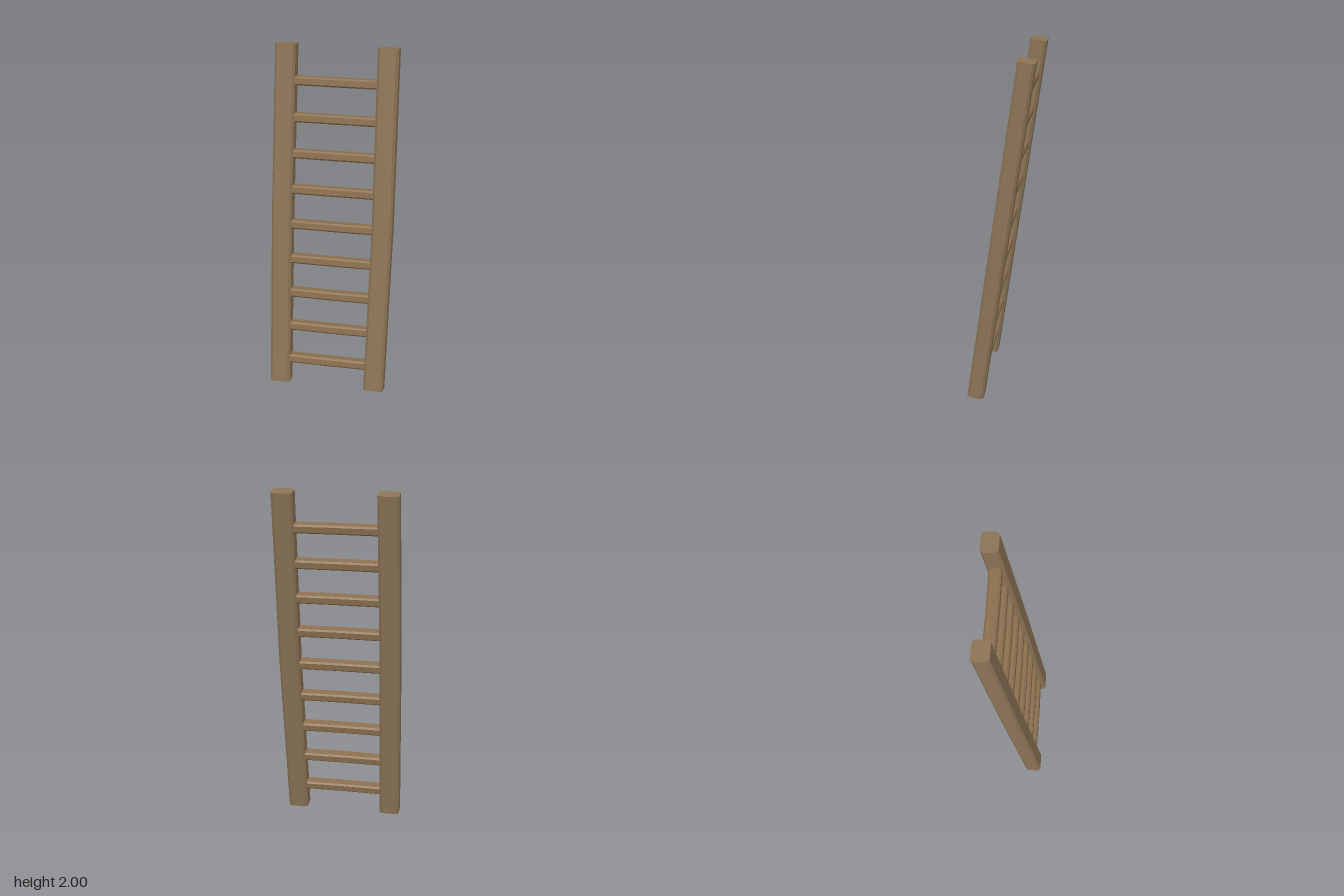
import * as THREE from 'three';

// Chamfered beam along z, with a middle section so it can bow
function beamGeometry(width, height, length, chamfer) {
  const w = width / 2, h = height / 2, c = chamfer;
  const outline = [
    [w - c, -h], [w, -h + c], [w, h - c], [w - c, h],
    [-w + c, h], [-w, h - c], [-w, -h + c], [-w + c, -h],
  ].map(([x, y]) => new THREE.Vector2(x, y));
  const geometry = new THREE.ExtrudeGeometry(new THREE.Shape(outline), {
    depth: length, steps: 2, bevelEnabled: false,
  });
  return geometry.translate(0, 0, -length / 2);
}

// Move every vertex by a rule
function bend(geometry, rule) {
  const p = geometry.attributes.position;
  const v = new THREE.Vector3();
  for (let i = 0; i < p.count; i++) {
    rule(v.fromBufferAttribute(p, i));
    p.setXYZ(i, v.x, v.y, v.z);
  }
  geometry.computeVertexNormals();
  return geometry;
}

export function createModel() {
  const railWood = new THREE.MeshStandardMaterial({ color: 0x8b7355 });
  railWood.name = 'railWood';
  const rungWood = new THREE.MeshStandardMaterial({ color: 0x8b6f4e });
  rungWood.name = 'rungWood';

  const model = new THREE.Group();
  model.name = 'ladder';
  const lean = new THREE.Group();
  lean.name = 'leaningFrame';
  lean.position.y = 1;
  lean.rotation.x = -Math.atan2(0.286, 1.986);
  model.add(lean);

  // Side rails, slightly bowed outwards: centre x at bottom, middle and top
  const railLength = 2.007;
  const rails = [
    ['leftRail', 0.280, 0.292, 0.2865],
    ['rightRail', -0.2845, -0.292, -0.2875],
  ];
  for (const [name, bottom, middle, top] of rails) {
    const geometry = beamGeometry(0.117, 0.095, railLength, 0.014).rotateX(-Math.PI / 2);
    bend(geometry, (v) => {
      const t = v.y / (railLength / 2);
      v.x += THREE.MathUtils.lerp(middle, t < 0 ? bottom : top, Math.abs(t));
    });
    const rail = new THREE.Mesh(geometry, railWood);
    rail.name = name;
    lean.add(rail);
  }

  // Rungs, bowed a little towards the front, ends set into the rails
  const rungCount = 9, rungLength = 0.5;
  const rungGeometry = bend(
    beamGeometry(0.068, 0.05, rungLength, 0.009).rotateY(Math.PI / 2),
    (v) => { v.z += 0.003 * (1 - Math.abs(v.x) / (rungLength / 2)); },
  );
  for (let i = 0; i < rungCount; i++) {
    const rung = new THREE.Mesh(rungGeometry, rungWood);
    rung.name = `rung${i + 1}`;
    rung.position.y = THREE.MathUtils.lerp(-0.857, 0.8, i / (rungCount - 1));
    lean.add(rung);
  }
  return model;
}
